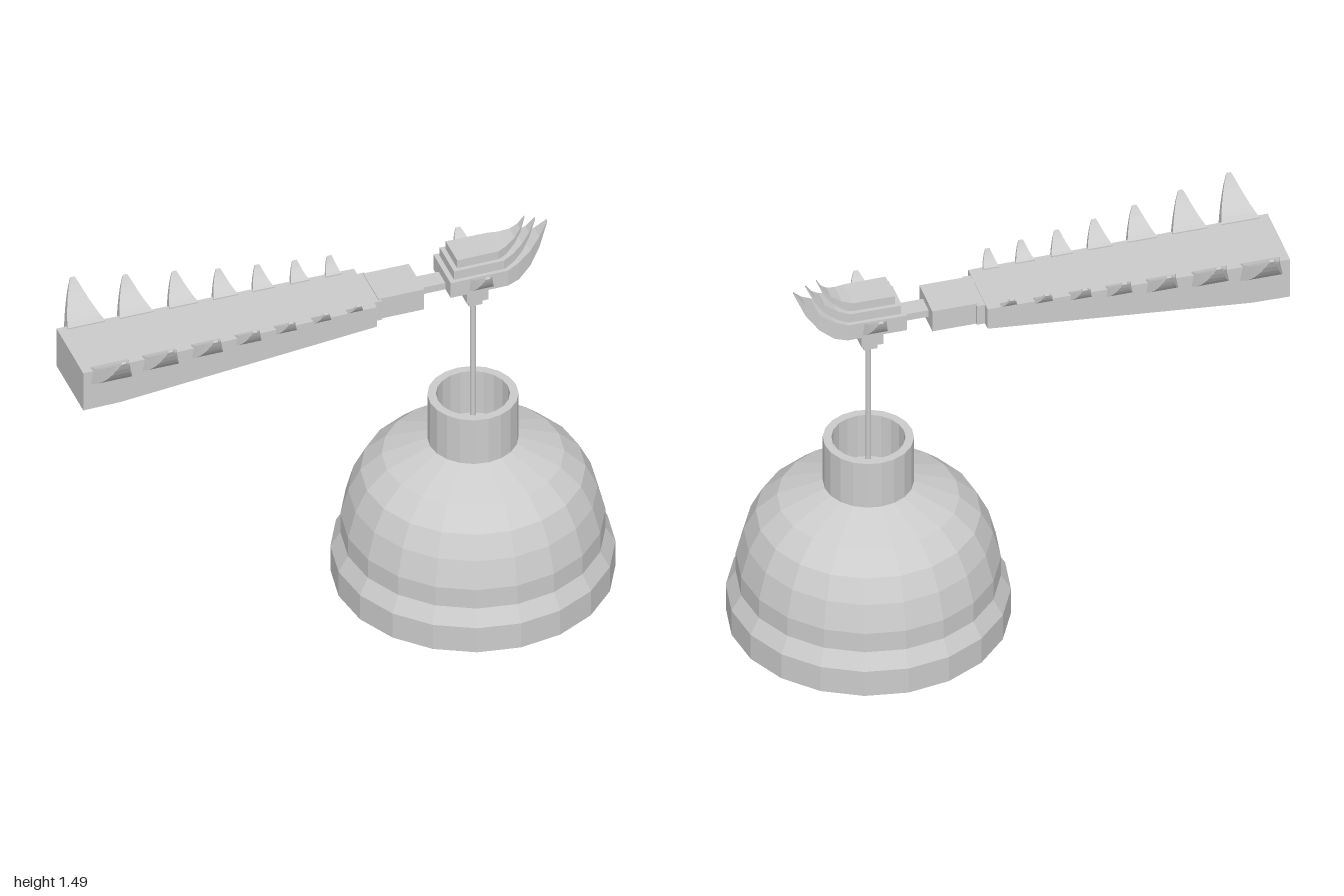
import * as THREE from 'three';

const material = new THREE.MeshStandardMaterial({ color: 0xcccccc, flatShading: true });

function add(parent, name, geometry, x = 0, y = 0, z = 0) {
  const mesh = new THREE.Mesh(geometry, material);
  mesh.name = name;
  mesh.position.set(x, y, z);
  parent.add(mesh);
  return mesh;
}

// Box given by its limits, centred on z
function block(parent, name, x0, x1, y0, y1, halfZ) {
  return add(parent, name, new THREE.BoxGeometry(x1 - x0, y1 - y0, halfZ * 2), (x0 + x1) / 2, (y0 + y1) / 2);
}

// Skin over four-cornered rings, capped at both ends
function loft(rings) {
  const pos = [];
  const quad = (a, b, c, d) => pos.push(...a, ...b, ...c, ...a, ...c, ...d);
  for (let i = 0; i < rings.length - 1; i++) {
    for (let j = 0; j < 4; j++) {
      const k = (j + 1) % 4;
      quad(rings[i][j], rings[i][k], rings[i + 1][k], rings[i + 1][j]);
    }
  }
  const [a, b, c, d] = rings[0];
  quad(d, c, b, a);
  quad(...rings[rings.length - 1]);
  const geometry = new THREE.BufferGeometry();
  geometry.setAttribute('position', new THREE.Float32BufferAttribute(pos, 3));
  geometry.computeVertexNormals();
  return geometry;
}

// Loft along x from [x, bottom, top, halfWidth] stations
const hull = stations => loft(stations.map(([x, y0, y1, w]) =>
  [[x, y0, w], [x, y0, -w], [x, y1, -w], [x, y1, w]]));

// Thorn that leaves a side wall and sweeps outward and up to a blunt tip
function thorn(wallZ, baseY, topY, tipZ, tipY, halfWidth) {
  const v = (z, y) => new THREE.Vector2(z, y);
  const dz = tipZ - wallZ;
  const lower = new THREE.QuadraticBezierCurve(v(wallZ, baseY),
    v(wallZ + dz * 0.68, baseY + (tipY - baseY) * 0.25), v(tipZ, tipY - 0.008));
  const upper = new THREE.QuadraticBezierCurve(v(wallZ, topY),
    v(wallZ + dz * 0.6, topY + (tipY - topY) * 0.2), v(tipZ - 0.004, tipY));
  const rings = [];
  for (let i = 0; i <= 7; i++) {
    const t = i / 7, l = lower.getPoint(t), u = upper.getPoint(t);
    const w = 0.009 + (halfWidth - 0.009) * Math.pow(1 - t, 0.85);
    const wu = w * 0.85;
    rings.push([[-w, l.y, l.x], [w, l.y, l.x], [wu, u.y, u.x], [-wu, u.y, u.x]]);
  }
  return loft(rings);
}

function thornPair(parent, name, x, ...shape) {
  const geometry = thorn(...shape);
  add(parent, name + 'Left', geometry, x);
  add(parent, name + 'Right', geometry, x).rotation.y = Math.PI;
}

export function createModel() {
  const model = new THREE.Group();
  model.name = 'hangingBell';

  // Hollow bell with an open-topped collar
  const wall = [[0.5, 0], [0.5, 0.105], [0.465, 0.165], [0.465, 0.245], [0.437, 0.35],
    [0.395, 0.435], [0.32, 0.505], [0.16, 0.57]];
  const inner = wall.map(([r, y]) => [r * 0.88, y * 0.94]).reverse();
  const profile = [[0, inner[0][1]], ...inner, ...wall,
    [0.16, 0.76], [0.13, 0.76], [0.13, 0.58], [0, 0.58]].map(p => new THREE.Vector2(...p));
  add(model, 'bell', new THREE.LatheGeometry(profile, 20), 0.5);

  // Hanging rod and its mount
  add(model, 'rod', new THREE.CylinderGeometry(0.01, 0.01, 0.6, 10), 0.5, 0.875);
  block(model, 'rodSocket', 0.475, 0.525, 1.165, 1.2, 0.03);
  block(model, 'rodMount', 0.46, 0.54, 1.195, 1.275, 0.05);

  // Tapering beam, end block and connecting link
  const arm = new THREE.Group();
  arm.name = 'arm';
  model.add(arm);
  add(arm, 'beam', hull([[-1, 1.158, 1.32, 0.14], [-0.86, 1.158, 1.32, 0.137], [0.1, 1.235, 1.32, 0.12]]));
  block(arm, 'beamStep', 0.09, 0.13, 1.237, 1.318, 0.09);
  block(arm, 'beamEnd', 0.12, 0.29, 1.235, 1.322, 0.08);
  block(arm, 'link', 0.28, 0.44, 1.267, 1.295, 0.035);

  // Thorns shrinking along the beam: x, base y, tip z, tip y, half width
  const thorns = [
    [-0.895, 1.257, 0.27, 1.432, 0.083], [-0.71, 1.263, 0.24, 1.417, 0.074],
    [-0.535, 1.27, 0.22, 1.402, 0.064], [-0.38, 1.28, 0.197, 1.39, 0.054],
    [-0.24, 1.29, 0.182, 1.383, 0.046], [-0.105, 1.3, 0.168, 1.378, 0.04],
    [0.02, 1.31, 0.157, 1.375, 0.034]];
  thorns.forEach(([x, baseY, tipZ, tipY, w], i) => {
    const wallZ = 0.122 - 0.018 * (x + 1);
    thornPair(arm, 'thorn' + (i + 1), x, wallZ, baseY, 1.325, tipZ, tipY, w);
  });

  // Head of three stacked layers, each ending in an upturned point
  const head = new THREE.Group();
  head.name = 'head';
  model.add(head);
  const layers = [
    [[0.385, 1.268, 1.332, 0.09], [0.6, 1.266, 1.332, 0.087], [0.645, 1.272, 1.345, 0.073],
      [0.695, 1.305, 1.37, 0.052], [0.738, 1.36, 1.405, 0.028], [0.775, 1.444, 1.45, 0.004]],
    [[0.403, 1.325, 1.368, 0.075], [0.59, 1.325, 1.368, 0.073], [0.63, 1.34, 1.378, 0.057],
      [0.67, 1.365, 1.398, 0.038], [0.702, 1.405, 1.427, 0.02], [0.73, 1.464, 1.47, 0.004]],
    [[0.42, 1.362, 1.402, 0.06], [0.575, 1.362, 1.402, 0.058], [0.61, 1.374, 1.408, 0.044],
      [0.645, 1.398, 1.424, 0.028], [0.67, 1.43, 1.448, 0.015], [0.69, 1.48, 1.486, 0.003]]];
  layers.forEach((stations, i) => add(head, 'headLayer' + (i + 1), hull(stations)));
  thornPair(head, 'headThorn', 0.5, 0.075, 1.272, 1.325, 0.16, 1.377, 0.05);

  return model;
}
